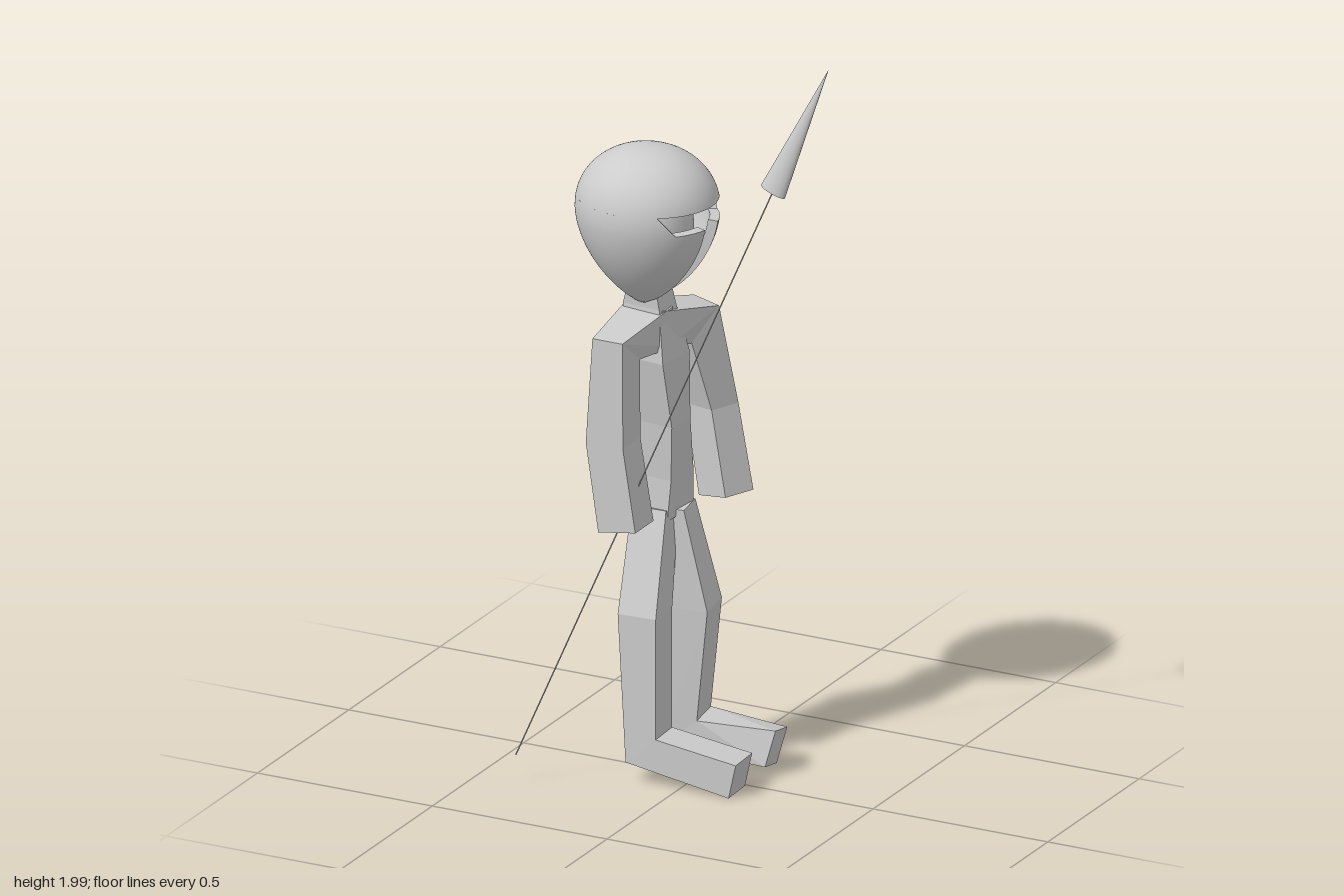
import * as THREE from 'three';

const flat = new THREE.MeshStandardMaterial({ color: 0xcccccc, flatShading: true, side: THREE.DoubleSide });
const smooth = new THREE.MeshStandardMaterial({ color: 0xcccccc, side: THREE.DoubleSide });

function add(group, name, geometry, material) {
  const mesh = new THREE.Mesh(geometry, material);
  mesh.name = name;
  group.add(mesh);
  return mesh;
}

// Four-sided limb through cross-sections [cx, cy, cz, ux, uy, wy, wz, uz]:
// u is the half-depth vector, w the half-width vector, both turned by yaw.
function limb(rows, yaw = 0) {
  const c = Math.cos(yaw), s = Math.sin(yaw), pos = [], idx = [];
  for (const [cx, cy, cz, ux, uy, wy, wz, uz = 0] of rows) {
    for (const [a, b] of [[-1, -1], [1, -1], [1, 1], [-1, 1]]) {
      const x = a * ux, z = a * uz + b * wz;
      pos.push(cx + x * c - z * s, cy + a * uy + b * wy, cz + x * s + z * c);
    }
  }
  for (let i = 0; i < rows.length - 1; i++) {
    for (let k = 0; k < 4; k++) {
      const p = i * 4 + k, q = i * 4 + (k + 1) % 4;
      idx.push(p, q, q + 4, p, q + 4, p + 4);
    }
  }
  const e = (rows.length - 1) * 4;
  idx.push(0, 2, 1, 0, 3, 2, e, e + 1, e + 2, e, e + 2, e + 3);

  // Turn the faces outward when the sections run the other way round
  let volume = 0;
  const P = i => new THREE.Vector3().fromArray(pos, i * 3);
  for (let i = 0; i < idx.length; i += 3) volume += P(idx[i]).dot(P(idx[i + 1]).cross(P(idx[i + 2])));
  if (volume < 0) idx.reverse();
  const g = new THREE.BufferGeometry();
  g.setAttribute('position', new THREE.Float32BufferAttribute(pos, 3));
  g.setIndex(idx);
  const out = g.toNonIndexed();
  out.computeVertexNormals();
  return out;
}

// Grid surface from point(u, v), with an optional normal(u, v)
function patch(nu, nv, point, normal, flip) {
  const pos = [], nor = [], idx = [];
  for (let j = 0; j <= nv; j++) {
    for (let i = 0; i <= nu; i++) {
      pos.push(...point(i / nu, j / nv));
      if (normal) nor.push(...normal(i / nu, j / nv));
      if (i < nu && j < nv) {
        const a = j * (nu + 1) + i, b = a + 1, c = a + nu + 1, d = c + 1;
        if (flip) idx.push(a, b, d, a, d, c);
        else idx.push(a, d, b, a, c, d);
      }
    }
  }
  const g = new THREE.BufferGeometry();
  g.setAttribute('position', new THREE.Float32BufferAttribute(pos, 3));
  g.setIndex(idx);
  if (normal) g.setAttribute('normal', new THREE.Float32BufferAttribute(nor, 3));
  else g.computeVertexNormals();
  return g;
}

// Egg-shaped helmet
const MID = 1.535, CX = -0.138, CZ = 0.0135, ZS = 0.925, SIDES = 96;
function eggRadius(y) {
  if (y > MID) return 0.188 * Math.sqrt(Math.max(0, 1 - ((y - MID) / 0.165) ** 2.15));
  return 0.188 * Math.max(0, 1 - ((MID - y) / 0.265) ** 1.75) ** 0.75;
}

// Thick helmet band from y0 to y1, left open at the face by gap(y) on each side
function helmetBand(group, name, y0, y1, nv, gap, dome) {
  const at = v => (dome ? y1 - (y1 - y0) * (1 - v) ** 2 : y0 + (y1 - y0) * v);
  const phi = (u, y) => gap(y) + u * 2 * (Math.PI - gap(y));
  const point = (u, v, inner) => {
    const y = at(v), f = phi(u, y), r = eggRadius(y) * (inner ? 0.86 : 1);
    return [CX + r * Math.cos(f), inner ? MID + (y - MID) * 0.9 : y, CZ + r * ZS * Math.sin(f)];
  };
  const normal = sign => (u, v) => {
    const y = Math.min(at(v), 1.6999), f = phi(u, y), h = 0.00005;
    const slope = (eggRadius(y + h) - eggRadius(y - h)) / (2 * h);
    return new THREE.Vector3(Math.cos(f), -slope, Math.sin(f) / ZS).normalize().multiplyScalar(sign).toArray();
  };
  add(group, name + 'Outside', patch(SIDES, nv, (u, v) => point(u, v, false), normal(1)), smooth);
  add(group, name + 'Inside', patch(SIDES, nv, (u, v) => point(u, v, true), normal(-1), true), smooth);
  // Rims joining the outside and inside
  for (const v of dome ? [0] : [0, 1]) {
    add(group, name + 'Rim', patch(SIDES, 1, (u, t) => point(u, v, t > 0.5), null, v === 0), smooth);
  }
  if (!dome) {
    for (const u of [0, 1]) {
      add(group, name + 'SlotEdge', patch(1, nv, (t, v) => point(u, v, t > 0.5), null, u === 1), smooth);
    }
  }
}

export function createModel() {
  const model = new THREE.Group();

  // Helmet with a T-shaped opening whose eye slot has slanted ends, and the head within it
  const helmet = new THREE.Group();
  helmet.name = 'helmet';
  model.add(helmet);
  helmetBand(helmet, 'dome', 1.568, 1.7, 14, () => 0, true);
  helmetBand(helmet, 'eyeBand', 1.515, 1.568, 3, y => 0.72 + 0.27 * (y - 1.515) / 0.053, false);
  helmetBand(helmet, 'cheekGuard', 1.273, 1.515, 16,
    y => Math.asin(Math.min(0.95, 0.035 / (ZS * eggRadius(y)))), false);
  const head = add(model, 'head', new THREE.SphereGeometry(1, 32, 20), smooth);
  head.scale.set(0.12, 0.165, 0.11);
  head.position.set(CX, 1.495, CZ);

  // Neck and torso
  add(model, 'torso', limb([
    [-0.135, 1.36, 0.01, 0.035, 0, 0, 0.034],
    [-0.14, 1.27, 0, 0.055, 0, 0, 0.038],
    [-0.125, 1.13, -0.01, 0.06, 0, 0, 0.062],
    [-0.105, 0.95, -0.02, 0.048, 0, 0, 0.043],
    [-0.115, 0.8, -0.042, 0.05, 0, 0, 0.052],
    [-0.125, 0.69, -0.047, 0.052, 0, 0, 0.06],
  ], 0.1), flat);

  // Arms, each starting inside the chest and mitred at the shoulder
  add(model, 'rightArm', limb([
    [-0.142, 1.21, -0.01, 0.064, 0, 0.055, 0],
    [-0.145, 1.2, 0.172, 0.043, 0, 0.037, 0.048],
    [-0.155, 0.95, 0.17, 0.053, 0, 0, 0.048],
    [-0.12, 0.72, 0.167, 0.053, 0.008, 0, 0.05],
  ]), flat);
  add(model, 'leftArm', limb([
    [-0.14, 1.21, 0.01, 0.06, 0, 0.055, 0],
    [-0.095, 1.18, -0.152, 0.05, 0, 0.04, -0.045],
    [-0.067, 0.94, -0.202, 0.053, 0.005, 0, -0.044],
    [-0.018, 0.71, -0.187, 0.053, 0.012, 0, -0.046],
  ], 0.4), flat);

  // Legs with feet, mitred at the ankle
  add(model, 'rightLeg', limb([
    [-0.13, 0.71, -0.012, 0.048, 0, 0.01, 0.038],
    [-0.115, 0.46, 0.072, 0.053, 0, 0, 0.05],
    [-0.104, 0.097, 0.072, 0.042, 0.037, 0, 0.05],
    [0.149, 0.052, 0.055, 0.01, 0.046, 0, 0.05],
  ], -0.05), flat);
  add(model, 'leftLeg', limb([
    [-0.115, 0.71, -0.06, 0.055, 0, 0, 0.045],
    [-0.055, 0.44, -0.082, 0.055, 0, 0, 0.057],
    [-0.082, 0.1, -0.085, 0.05, 0.038, 0, 0.055],
    [0.16, 0.072, -0.12, 0.01, 0.046, 0.011, 0.046, -0.012],
  ], -0.15), flat);

  // Spear: thin shaft and flattened pointed head
  const spear = new THREE.Group();
  spear.name = 'spear';
  const foot = new THREE.Vector3(-0.385, 0.085, 0.262), tip = new THREE.Vector3(0.38, 2, 0.013);
  const dir = tip.clone().sub(foot), length = dir.length(), headLength = 0.37;
  const shaft = add(spear, 'shaft', new THREE.CylinderGeometry(0.0018, 0.0018, length - headLength, 8), smooth);
  shaft.position.y = (length - headLength) / 2;
  const point = add(spear, 'spearHead', new THREE.ConeGeometry(0.036, headLength, 24), smooth);
  point.scale.z = 0.55;
  point.position.y = length - headLength / 2;
  spear.position.copy(foot);
  spear.quaternion.setFromUnitVectors(new THREE.Vector3(0, 1, 0), dir.normalize());
  model.add(spear);

  return model;
}
